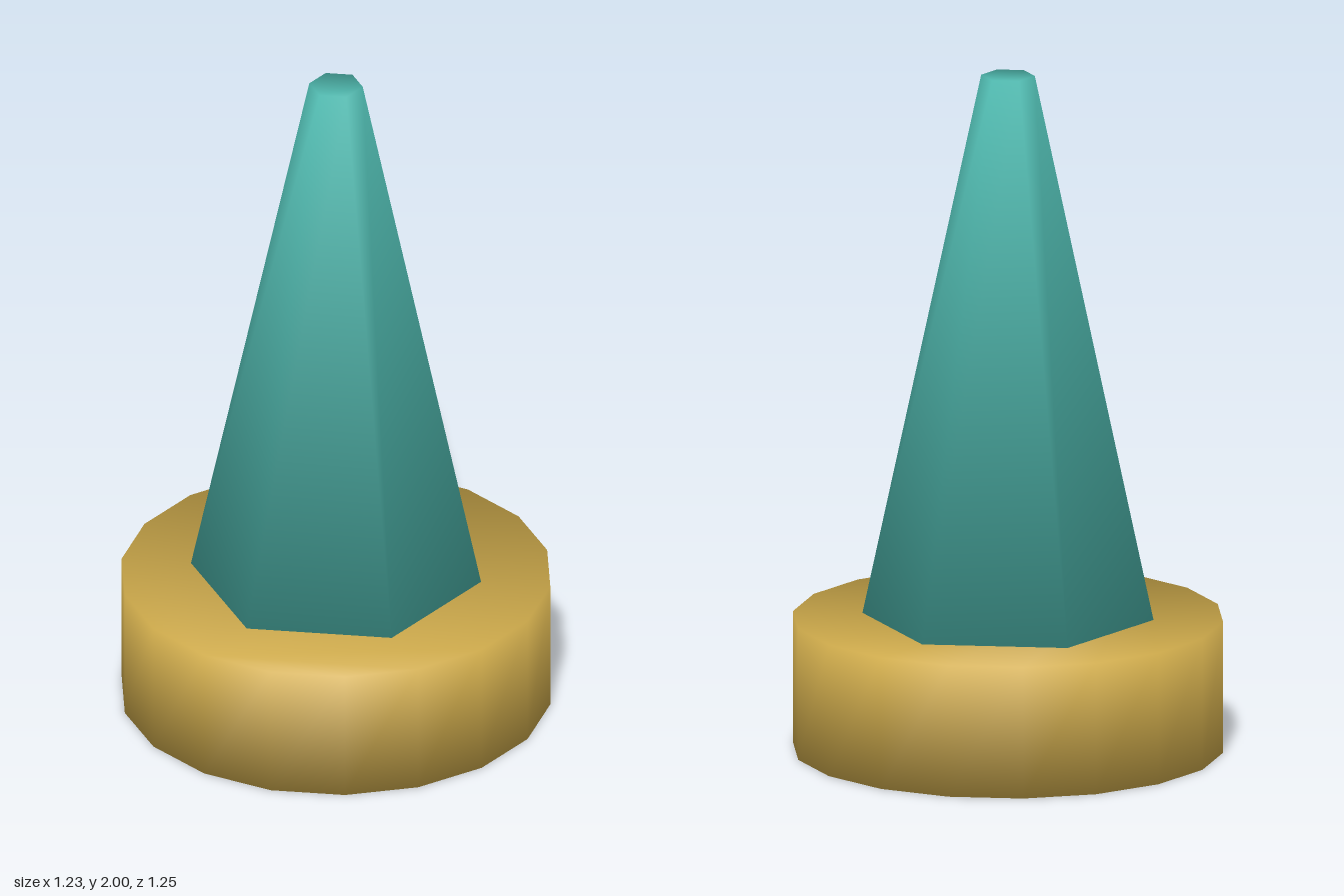
import * as THREE from 'three';

const gold = new THREE.MeshStandardMaterial({ name: 'gold', color: 0xd0ac4c });
const teal = new THREE.MeshStandardMaterial({ name: 'teal', color: 0x4db6ac });

// Closed frustum whose walls and caps share vertices, so shading flows over the rims.
// Each ring is { y, r, ny }: height, radius and vertical part of its unit normal.
function softFrustum(sides, bottom, top) {
  const positions = [], normals = [], index = [];
  for (const { y, r, ny } of [bottom, top]) {
    const radial = Math.sqrt(1 - ny * ny);
    for (let i = 0; i < sides; i++) {
      const a = (i / sides) * Math.PI * 2;
      positions.push(r * Math.sin(a), y, r * Math.cos(a));
      normals.push(radial * Math.sin(a), ny, radial * Math.cos(a));
    }
  }
  for (let i = 0; i < sides; i++) {
    const j = (i + 1) % sides;
    index.push(i, j, sides + j, i, sides + j, sides + i); // wall
    if (i > 0 && j > 0) {
      index.push(0, j, i); // bottom cap
      index.push(sides, sides + i, sides + j); // top cap
    }
  }
  const geometry = new THREE.BufferGeometry();
  geometry.setAttribute('position', new THREE.Float32BufferAttribute(positions, 3));
  geometry.setAttribute('normal', new THREE.Float32BufferAttribute(normals, 3));
  geometry.setIndex(index);
  return geometry;
}

function addPart(group, name, geometry, material) {
  const mesh = new THREE.Mesh(geometry, material);
  mesh.name = name;
  group.add(mesh);
}

export function createModel() {
  const group = new THREE.Group();
  group.name = 'spireOnBase';

  // Round eighteen-sided base
  addPart(group, 'base', softFrustum(18,
    { y: 0, r: 0.625, ny: -0.67 },
    { y: 0.39, r: 0.625, ny: 0.67 }), gold);

  // Tapering six-sided spire standing on the base
  addPart(group, 'spire', softFrustum(6,
    { y: 0.39, r: 0.423, ny: -0.52 },
    { y: 2, r: 0.078, ny: 0.7 }), teal);

  return group;
}
